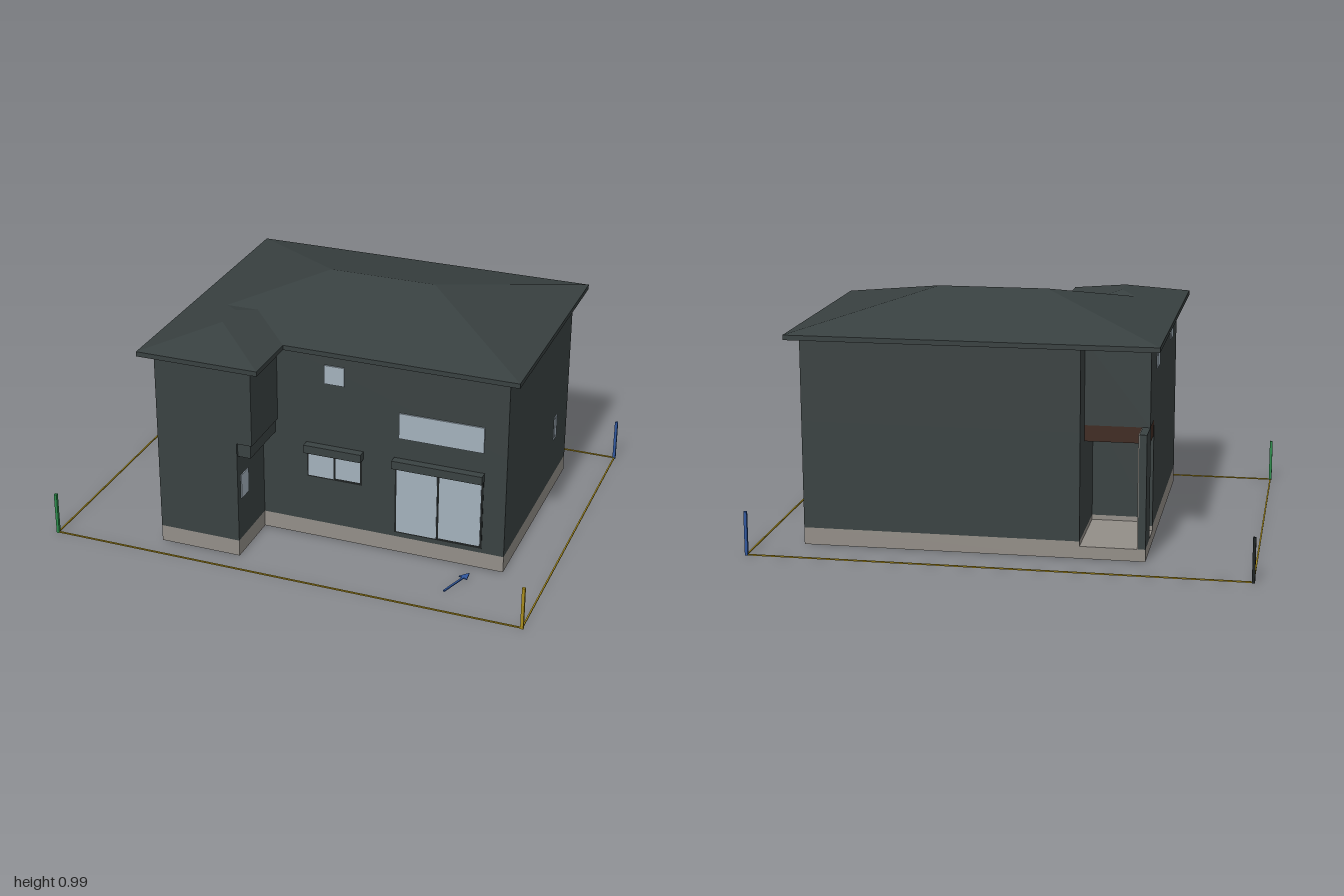
import * as THREE from 'three';

const mat = (name, color, extra = {}) => {
  const m = new THREE.MeshStandardMaterial({ color, ...extra });
  m.name = name;
  return m;
};

export function createModel() {
  const model = new THREE.Group();
  model.name = 'house';
  const wall = mat('wall', 0x3a4242);
  const roof = mat('roof', 0x384040, { flatShading: true });
  const stone = mat('foundation', 0x938e88);
  const glass = mat('glass', 0xa3b1bc);
  const brown = mat('brownWood', 0x3f2a22);
  const frame = mat('frame', 0x1d2121);
  const gold = mat('gold', 0xa88c1c);
  const green = mat('green', 0x2c8a4a);
  const blue = mat('blue', 0x2f569c);

  const add = (name, geometry, material) => {
    const mesh = new THREE.Mesh(geometry, material);
    mesh.name = name;
    model.add(mesh);
    return mesh;
  };

  // Box given by its minimum and maximum on each axis
  const box = (name, material, [x0, x1], [y0, y1], [z0, z1]) => {
    const g = new THREE.BoxGeometry(x1 - x0, y1 - y0, z1 - z0);
    g.translate((x0 + x1) / 2, (y0 + y1) / 2, (z0 + z1) / 2);
    return add(name, g, material);
  };

  // Floor plan of (x, z) corners raised from y0 to y1
  const toPoints = plan => plan.map(([x, z]) => new THREE.Vector2(x, -z));
  const storey = (name, material, plan, y0, y1, hole) => {
    const shape = new THREE.Shape(toPoints(plan));
    if (hole) shape.holes.push(new THREE.Path(toPoints(hole)));
    const g = new THREE.ExtrudeGeometry(shape, { depth: y1 - y0, bevelEnabled: false });
    g.rotateX(-Math.PI / 2);
    g.translate(0, y0, 0);
    return add(name, g, material);
  };

  // Foundation ring, ground floor and overhanging upper floor
  const groundPlan = [[-0.565, 0.63], [-0.22, 0.63], [-0.22, 0.37], [0.81, 0.37], [0.81, -0.55],
    [-0.305, -0.55], [-0.305, -0.18], [-0.54, -0.18], [-0.54, -0.295], [-0.565, -0.295]];
  const ringHole = [[-0.525, 0.59], [-0.26, 0.59], [-0.26, 0.33], [0.77, 0.33], [0.77, -0.51],
    [-0.265, -0.51], [-0.265, -0.14], [-0.525, -0.14]];
  const upperPlan = [[-0.565, 0.63], [-0.155, 0.63], [-0.155, 0.37], [0.81, 0.37], [0.81, -0.55],
    [-0.305, -0.55], [-0.305, -0.43], [-0.565, -0.43]];
  storey('foundation', stone, groundPlan, 0, 0.07, ringHole);
  storey('groundFloorWalls', [brown, wall], groundPlan, 0.07, 0.51);
  storey('upperFloorWalls', wall, upperPlan, 0.51, 0.85);
  box('overhangBeam', wall, [-0.23, -0.165], [0.45, 0.51], [0.36, 0.62]);

  // Entrance porch in the back corner
  box('porchFloor', stone, [-0.565, -0.3], [0, 0.05], [-0.55, -0.17]);
  box('porchBeam', brown, [-0.564, -0.304], [0.445, 0.51], [-0.429, -0.18]);
  box('porchScreen', wall, [-0.565, -0.535], [0.05, 0.51], [-0.55, -0.41]);
  box('porchScreenLining', stone, [-0.536, -0.531], [0.05, 0.508], [-0.549, -0.411]);
  box('porchSoffit', brown, [-0.565, -0.305], [0.84, 0.846], [-0.55, -0.43]);

  // Hipped roof over a rectangle, on a flat eave slab
  const slope = 0.243, eave = 0.865;
  const hipRoof = (name, x0, x1, z0, z1) => {
    const inset = Math.min(x1 - x0, z1 - z0) / 2;
    const y = eave + inset * slope;
    const mid = (v, lo, hi) => (v === lo ? lo + inset : hi - inset);
    const corners = [[x0, z1], [x1, z1], [x1, z0], [x0, z0]];
    const ridge = corners.map(([x, z]) => [mid(x, x0, x1), y, mid(z, z0, z1)]);
    const pos = [];
    corners.forEach(([x, z], i) => {
      const j = (i + 1) % 4;
      const p = [x, eave, z], q = [corners[j][0], eave, corners[j][1]];
      pos.push(...p, ...q, ...ridge[j]);
      const gap = Math.hypot(ridge[i][0] - ridge[j][0], ridge[i][2] - ridge[j][2]);
      if (gap > 1e-5) pos.push(...p, ...ridge[j], ...ridge[i]);
    });
    const g = new THREE.BufferGeometry();
    g.setAttribute('position', new THREE.Float32BufferAttribute(pos, 3));
    g.computeVertexNormals();
    add(name, g, roof);
    box(name + 'Eave', roof, [x0, x1], [0.845, eave], [z0, z1]);
  };
  hipRoof('mainRoof', -0.615, 0.86, -0.605, 0.42);
  hipRoof('wingRoof', -0.615, -0.105, 0.045, 0.68);

  // Windows on the front wall
  const zf = 0.37;
  const frontPane = (name, x, y) => box(name, glass, x, y, [zf - 0.002, zf + 0.006]);
  const frontFrame = (name, x, y) => box(name, frame, x, y, [zf - 0.002, zf + 0.003]);
  frontPane('smallUpperWindow', [0.05, 0.135], [0.705, 0.785]);
  frontPane('wideUpperWindow', [0.365, 0.715], [0.52, 0.63]);
  frontFrame('kitchenWindowFrame', [-0.027, 0.21], [0.275, 0.395]);
  frontPane('kitchenWindowLeft', [-0.02, 0.088], [0.282, 0.392]);
  frontPane('kitchenWindowRight', [0.097, 0.202], [0.287, 0.382]);
  frontFrame('terraceDoorFrame', [0.35, 0.718], [0.09, 0.395]);
  frontPane('terraceDoorLeft', [0.358, 0.528], [0.097, 0.392]);
  frontPane('terraceDoorRight', [0.537, 0.71], [0.102, 0.382]);
  box('kitchenShutterHood', wall, [-0.03, 0.215], [0.395, 0.43], [zf, 0.405]);
  box('terraceShutterHood', wall, [0.345, 0.72], [0.395, 0.43], [zf, 0.405]);

  // Windows on the side walls
  const sidePane = (name, x, y, z) => box(name, glass, [x - 0.004, x + 0.004], y, z);
  sidePane('wingSideWindow', -0.22, [0.25, 0.355], [0.53, 0.6]);
  sidePane('narrowSideWindow', 0.81, [0.25, 0.355], [-0.37, -0.337]);
  sidePane('upperSideWindowBack', -0.565, [0.7, 0.78], [-0.21, -0.12]);
  sidePane('upperSideWindowFront', -0.565, [0.705, 0.785], [0.36, 0.45]);

  // Plot boundary: coloured corner posts joined by thin lines
  const px = 0.994, pz = 0.73, h = 0.006;
  [[-1, 1, green], [1, 1, gold], [1, -1, blue], [-1, -1, frame]].forEach(([sx, sz, m]) =>
    box('boundaryPost', m, [sx * px - h, sx * px + h], [0, 0.18], [sz * pz - h, sz * pz + h]));
  for (const s of [-1, 1]) {
    box('boundaryLine', gold, [-px, px], [0, 0.005], [s * pz - 0.003, s * pz + 0.003]);
    box('boundaryLine', gold, [s * px - 0.003, s * px + 0.003], [0, 0.005], [-pz, pz]);
  }

  // Flat arrow on the ground
  const arrow = new THREE.Shape([[-0.004, 0], [0.004, 0], [0.004, 0.125], [0.02, 0.125],
    [0, 0.17], [-0.02, 0.125], [-0.004, 0.125]].map(([x, y]) => new THREE.Vector2(x, y)));
  const arrowGeometry = new THREE.ExtrudeGeometry(arrow, { depth: 0.005, bevelEnabled: false });
  arrowGeometry.rotateX(-Math.PI / 2);
  const arrowMesh = add('groundArrow', arrowGeometry, blue);
  arrowMesh.position.set(0.635, 0, 0.59);
  arrowMesh.rotation.y = -0.33;

  return model;
}
